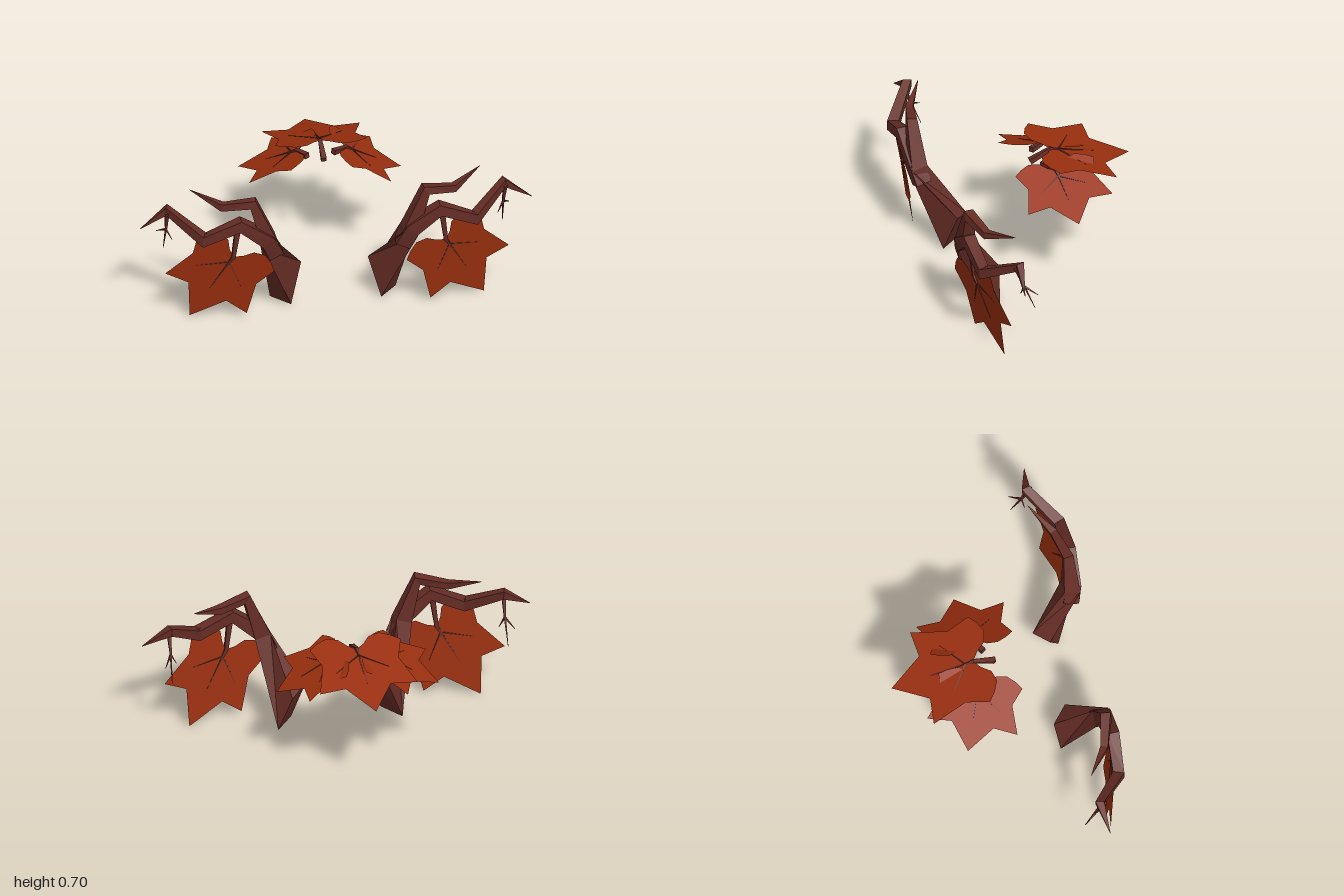
import * as THREE from 'three';

const bark = new THREE.MeshStandardMaterial({ color: 0x652c25, flatShading: true });
bark.name = 'bark brown';
const leafRed = new THREE.MeshStandardMaterial({ color: 0x9a2f0f, flatShading: true, side: THREE.DoubleSide });
leafRed.name = 'autumn leaf red';

const vec = (p) => new THREE.Vector3(...p);

// Square-section limb through [x, y, z, halfWidth] stations, optionally starting from a given ring
function limb(name, stations, baseRing) {
  const pts = stations.map(([x, y, z]) => new THREE.Vector3(x, y, z));
  const rings = pts.map((p, i) => {
    if (i === 0 && baseRing) return baseRing.map(vec);
    const t = new THREE.Vector3();
    if (i > 0) t.add(p.clone().sub(pts[i - 1]).normalize());
    if (i < pts.length - 1) t.add(pts[i + 1].clone().sub(p).normalize());
    t.normalize();
    const s = t.clone().cross(new THREE.Vector3(0, 0, 1)).normalize();
    const n = s.clone().cross(t);
    const r = stations[i][3];
    return [[-1, 1], [1, 1], [1, -1], [-1, -1]].map(([a, b]) =>
      p.clone().addScaledVector(s, a * r).addScaledVector(n, b * r));
  });
  const out = [];
  const tri = (...c) => c.forEach((v) => out.push(v.x, v.y, v.z));
  for (let i = 0; i < rings.length - 1; i++) {
    const a = rings[i], b = rings[i + 1];
    for (let j = 0; j < 4; j++) {
      const k = (j + 1) % 4;
      tri(a[j], a[k], b[k]);
      tri(a[j], b[k], b[j]);
    }
  }
  // End caps
  const f = rings[0], l = rings[rings.length - 1];
  tri(f[0], f[2], f[1]); tri(f[0], f[3], f[2]);
  tri(l[0], l[1], l[2]); tri(l[0], l[2], l[3]);
  const g = new THREE.BufferGeometry();
  g.setAttribute('position', new THREE.Float32BufferAttribute(out, 3));
  g.computeVertexNormals();
  const m = new THREE.Mesh(g, bark);
  m.name = name;
  return m;
}

// Half outline of a five-pointed leaf: u across, v from stem (0) to tip (0.45)
const half = [[0.11, 0.28], [0.238, 0.293], [0.185, 0.115], [0.222, 0], [0.18, -0.035],
  [0.13, -0.06], [0.075, -0.045], [0.04, 0.0]];

// Leaf placed by its stem point, its tip and a rough sideways direction
function leaf(name, base, tip, side, width, stem) {
  const group = new THREE.Group();
  group.name = name;
  const o = vec(base);
  const V = vec(tip).sub(o).divideScalar(0.45);
  const vn = V.clone().normalize();
  const U = vec(side);
  U.addScaledVector(vn, -U.dot(vn)).normalize().multiplyScalar(width);
  const N = U.clone().cross(V).normalize();
  const at = (u, v) => o.clone().addScaledVector(U, u).addScaledVector(V, v);

  const outline = [[0, 0.45], ...half, [0, 0.03],
    ...half.slice().reverse().map(([u, v]) => [-u, v])];
  const blade = new THREE.ShapeGeometry(new THREE.Shape(outline.map(([u, v]) => new THREE.Vector2(u, v))));
  blade.applyMatrix4(new THREE.Matrix4().makeBasis(U, V, N).setPosition(o));
  blade.computeVertexNormals();
  const mesh = new THREE.Mesh(blade, leafRed);
  mesh.name = 'leafBlade';
  group.add(mesh);

  // Stem running into the midrib, with two side veins
  const p = (u, v, r) => [...at(u, v).toArray(), r];
  group.add(limb('leafStem', [[...stem, 0.014], p(0, 0.03, 0.01), p(0, 0.1, 0.004), p(0, 0.26, 0.001)]));
  for (const s of [-1, 1])
    group.add(limb('leafVein', [p(0, 0.07, 0.004), p(s * 0.13, 0.17, 0.001)]));
  return group;
}

// One gnarled branch on the +x side
function branch() {
  const g = new THREE.Group();
  g.name = 'leftBranch';
  g.add(limb('trunkAndUpperBough', [
    [0.243, 0.105, 0.3, 0.1], [0.36, 0.45, 0.468, 0.042], [0.44, 0.675, 0.472, 0.026],
    [0.59, 0.645, 0.43, 0.019], [0.74, 0.7, 0.33, 0.001],
  ], [[0.17, 0.22, 0.32], [0.23, 0.01, 0.375], [0.32, 0.003, 0.265], [0.25, 0.19, 0.245]]));
  g.add(limb('lowerBough', [
    [0.325, 0.37, 0.455, 0.04], [0.37, 0.465, 0.48, 0.038], [0.51, 0.57, 0.495, 0.031],
    [0.69, 0.49, 0.482, 0.029], [0.86, 0.605, 0.347, 0.022], [0.999, 0.52, 0.37, 0.001],
  ]));
  // Forked twig hanging near the bough's end
  const fork = [0.86, 0.48, 0.325];
  g.add(limb('twig', [[0.862, 0.6, 0.37, 0.011], [...fork, 0.005]]));
  for (const tip of [[0.865, 0.34, 0.27], [0.9, 0.44, 0.265], [0.83, 0.42, 0.335]])
    g.add(limb('twigTip', [[...fork, 0.005], [...tip, 0.001]]));
  g.add(leaf('hangingLeaf', [0.527, 0.405, 0.488], [0.75, 0.006, 0.392],
    [0.866, 0.5, -0.11], 1, [0.52, 0.55, 0.49]));
  return g;
}

// Mirror every mesh across x, keeping faces outward
function mirrored(source, name) {
  const copy = source.clone(true);
  copy.name = name;
  copy.traverse((m) => {
    if (!m.isMesh) return;
    const g = m.geometry.index ? m.geometry.toNonIndexed() : m.geometry.clone();
    const p = g.attributes.position;
    const a = new THREE.Vector3(), b = new THREE.Vector3();
    for (let i = 0; i < p.count; i += 3) {
      a.fromBufferAttribute(p, i + 1);
      b.fromBufferAttribute(p, i + 2);
      p.setXYZ(i, -p.getX(i), p.getY(i), p.getZ(i));
      p.setXYZ(i + 1, -b.x, b.y, b.z);
      p.setXYZ(i + 2, -a.x, a.y, a.z);
    }
    g.computeVertexNormals();
    m.geometry = g;
  });
  return copy;
}

export function createModel() {
  const model = new THREE.Group();
  model.name = 'branchesAndLeaves';
  const left = branch();
  model.add(left, mirrored(left, 'rightBranch'));

  // Cluster of three leaves behind
  model.add(leaf('rearLeaf', [0, 0.668, -0.085], [-0.01, 0.54, -0.538], [-1, 0, 0], 1.06, [0, 0.61, -0.005]));
  model.add(leaf('rearLeftLeaf', [0.11, 0.625, -0.1], [0.413, 0.466, -0.123], [0.22, -0.08, 0.97], 0.97, [0.055, 0.625, -0.05]));
  model.add(leaf('rearRightLeaf', [-0.1, 0.625, -0.1], [-0.4, 0.48, -0.23], [0.53, 0.07, -0.85], 0.97, [-0.08, 0.62, -0.04]));
  return model;
}
